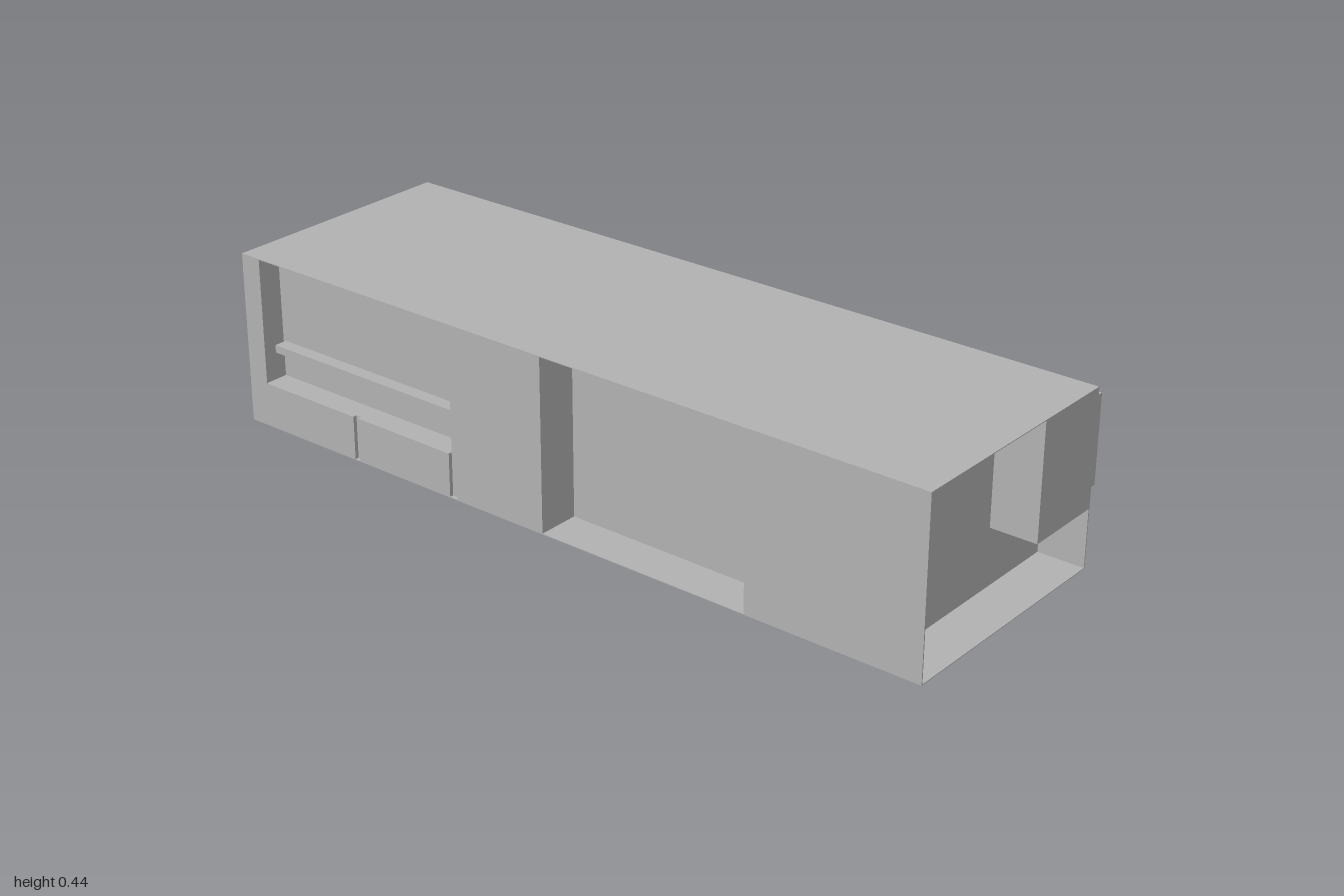
import * as THREE from 'three';

const grey = new THREE.MeshStandardMaterial({ color: 0xb2b2b2 });
grey.name = 'plainGrey';

// Box given by its limits on each axis
function box(name, x0, x1, y0, y1, z0, z1) {
  const mesh = new THREE.Mesh(new THREE.BoxGeometry(x1 - x0, y1 - y0, z1 - z0), grey);
  mesh.position.set((x0 + x1) / 2, (y0 + y1) / 2, (z0 + z1) / 2);
  mesh.name = name;
  return mesh;
}

// Upright prism from a plan outline of [x, z] points
function prism(name, plan, y0, y1) {
  const shape = new THREE.Shape(plan.map(([x, z]) => new THREE.Vector2(x, -z)));
  const geometry = new THREE.ExtrudeGeometry(shape, { depth: y1 - y0, bevelEnabled: false });
  geometry.rotateX(-Math.PI / 2).translate(0, y0, 0);
  const mesh = new THREE.Mesh(geometry, grey);
  mesh.name = name;
  return mesh;
}

export function createModel() {
  const model = new THREE.Group();
  model.name = 'longBuilding';
  const height = 0.445, ceiling = 0.443, floor = 0.002, front = 0.33, back = -0.316;

  // Thin floor and roof over the whole footprint
  model.add(box('floor', -1, 1, 0, floor, -0.314, front));
  model.add(box('roof', -1, 1, ceiling, height, back, front));

  // Core walls with the front bays and open end corners cut out in plan
  model.add(prism('coreWalls', [
    [-1, -0.314], [0.88, -0.314], [0.88, front],
    [0.54, front], [0.54, 0.22], [-0.037, 0.22], [-0.037, front],
    [-0.302, front], [-0.302, 0.32], [-0.326, 0.32], [-0.326, 0.265],
    [-0.945, 0.265], [-0.945, 0.15], [-1, 0.15],
  ], floor, ceiling));

  // Thin screens closing the open end corners
  model.add(box('leftFrontScreen', 0.88, 1, floor, ceiling, front - 0.003, front));
  model.add(box('rightFrontScreen', -1, -0.941, floor, ceiling, front - 0.003, front));
  model.add(box('nichePartition', -0.947, -0.943, floor, ceiling, 0.265, front - 0.003));

  // Raised box over the end recess
  model.add(box('overhangBox', 0.88, 1, 0.15, ceiling, -0.313, -0.1));

  // Back wall skin with a shallow step along its foot
  model.add(box('backWall', -1, 1, 0.02, ceiling, back, -0.313));
  model.add(box('backWallFoot', 0.52, 1, floor, 0.02, back, -0.313));

  // Front niche: low cabinets split by a narrow joint, and a shelf
  for (const [x0, x1] of [[-0.943, -0.64], [-0.625, -0.326]]) {
    model.add(box('lowCabinet', x0, x1, floor, 0.115, 0.265, front));
  }
  model.add(box('cabinetJoint', -0.64, -0.625, floor, 0.115, 0.265, front - 0.01));
  model.add(box('shelf', -0.935, -0.335, 0.19, 0.21, 0.262, 0.3));

  // Row of projecting back window panels
  for (const [x0, x1] of [[-0.935, -0.478], [-0.44, 0.014], [0.053, 0.506], [0.545, 1]]) {
    model.add(box('windowPanel', x0, x1, 0.203, 0.426, -0.33, back));
  }
  return model;
}
